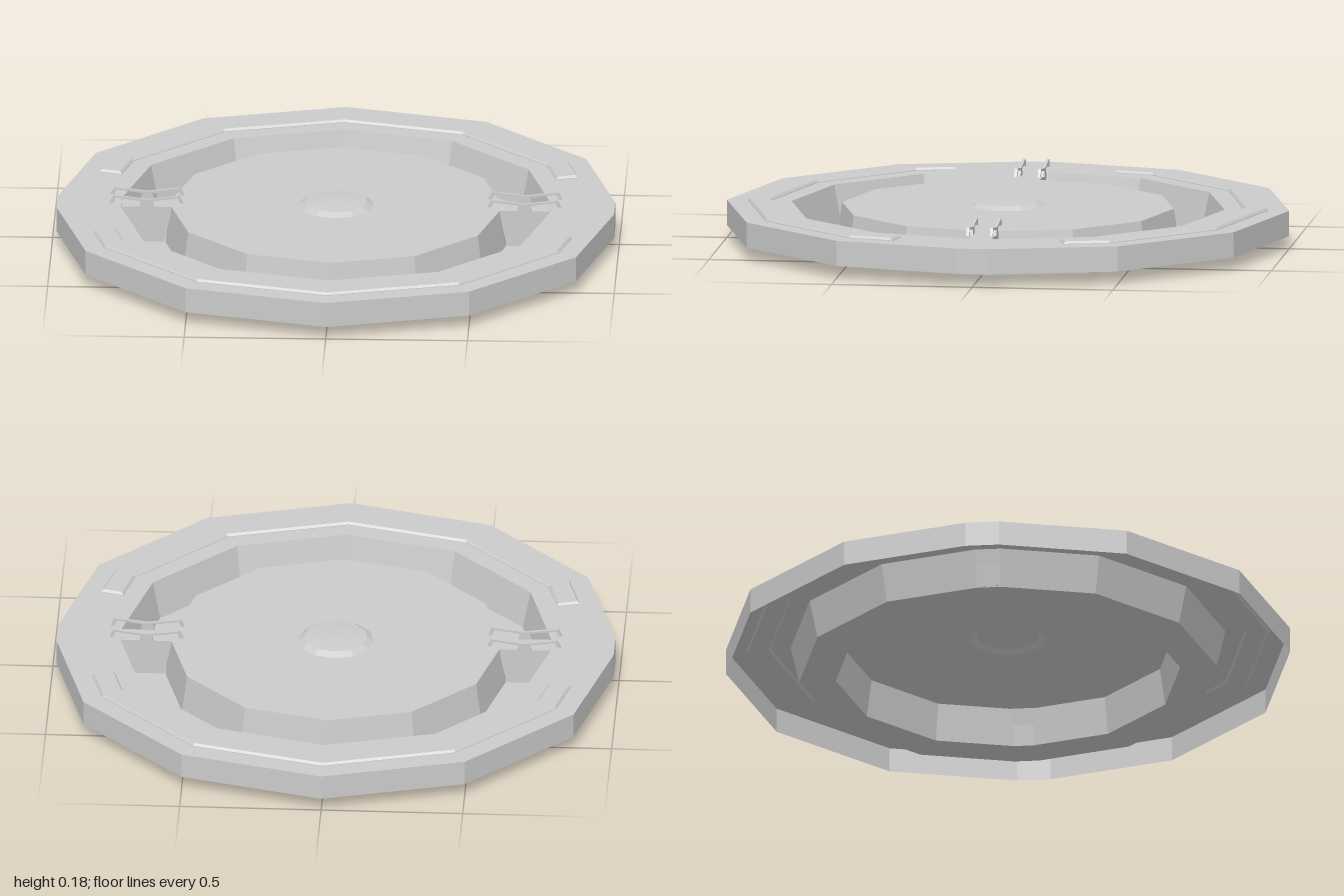
import * as THREE from 'three';

const TOP = 0.135; // height of the lid's upper face
const material = new THREE.MeshStandardMaterial({ color: 0xcccccc, flatShading: true, side: THREE.DoubleSide });

function addMesh(parent, name, geometry) {
  const mesh = new THREE.Mesh(geometry, material);
  mesh.name = name;
  parent.add(mesh);
  return mesh;
}

// Twelve-sided ring with a point at each z end and a small flat at each x end
function ring(r) {
  const c = 0.06 * r;
  const quarter = [[0, r], [r * 0.5, r * 0.866], [r * 0.866, r * 0.5], [r - c * 0.268, c]];
  const half = [...quarter, ...quarter.slice(1).reverse().map(([x, z]) => [x, -z])];
  return [...half, ...half.map(([x, z]) => [-x, -z])];
}

// Skin between successive [radius, height] rings
function loftRings(profile) {
  const positions = [], index = [];
  profile.forEach(([r, y]) => ring(r).forEach(([x, z]) => positions.push(x, y, z)));
  const n = ring(1).length;
  for (let i = 0; i < profile.length - 1; i++) {
    for (let j = 0; j < n; j++) {
      const a = i * n + j, b = i * n + (j + 1) % n;
      if (profile[i + 1][0] > 0) index.push(a, b, b + n, a, b + n, a + n);
      else index.push(a, b, a + n);
    }
  }
  const geometry = new THREE.BufferGeometry();
  geometry.setAttribute('position', new THREE.Float32BufferAttribute(positions, 3));
  geometry.setIndex(index);
  const flat = geometry.toNonIndexed();
  flat.computeVertexNormals();
  return flat;
}

const shapeOf = (points) => new THREE.Shape(points.map(([x, y]) => new THREE.Vector2(x, y)));

// Right half of a line mirrored into a full line, from -x to +x
const mirrored = (half) => [...half.slice(1).reverse().map(([x, y]) => [-x, y]), ...half];

export function createModel() {
  const model = new THREE.Group();
  model.name = 'lid';

  // Thin shell: skirt, rim, pressed groove, centre disc and low dome
  addMesh(model, 'lidShell', loftRings([
    [1, 0.045], [1, TOP], [0.77, TOP], [0.74, 0], [0.61, 0], [0.59, TOP],
    [0.135, TOP], [0.112, 0.149], [0.06, 0.154], [0, 0.157],
  ]));

  // Raised band on the front and back of the rim
  const outer = [[0, 0.925], [0.463, 0.803], [0.803, 0.463], [0.845, 0.305]];
  const inner = [[0, 0.84], [0.42, 0.73], [0.73, 0.42], [0.767, 0.283]];
  const band = new THREE.ExtrudeGeometry(shapeOf([...mirrored(outer), ...mirrored(inner).reverse()]), {
    depth: 0.002, bevelEnabled: true, bevelThickness: 0.008, bevelSize: 0.007, bevelOffset: -0.007, bevelSegments: 1,
  });
  band.rotateX(-Math.PI / 2);
  for (const [name, turn] of [['backBand', 0], ['frontBand', Math.PI]]) {
    const mesh = addMesh(model, name, band);
    mesh.position.y = TOP;
    mesh.rotation.y = turn;
  }

  // Bow-shaped clip with a centre foot and turned-down ends
  const clipTop = [[0, 0.163], [0.115, 0.178], [0.13, 0.15]];
  const clipUnder = [[0.025, 0.135], [0.018, 0.157], [0.108, 0.17], [0.117, 0.15]];
  const clip = new THREE.ExtrudeGeometry(shapeOf([
    ...mirrored(clipTop),
    ...clipUnder.slice().reverse(),
    ...clipUnder.map(([x, y]) => [-x, y]),
  ]), { depth: 0.01, bevelEnabled: false });
  clip.translate(0, 0, -0.005);

  // Bridge across the groove on each side, carrying a pair of clips
  for (const [side, sign] of [['left', 1], ['right', -1]]) {
    const group = new THREE.Group();
    group.name = side + 'Bridge';
    group.position.x = sign * 0.667;
    model.add(group);
    const block = addMesh(group, 'bridgeBlock', new THREE.BoxGeometry(0.18, TOP - 0.004, 0.08));
    block.position.y = TOP / 2 + 0.002;
    // Taper the block's outer foot to follow the groove wall
    const p = block.geometry.attributes.position;
    for (let i = 0; i < p.count; i++) {
      if (p.getY(i) < 0) p.setX(i, p.getX(i) * 0.7);
    }
    block.geometry.computeVertexNormals();
    for (const z of [-0.042, 0.042]) addMesh(group, 'clip', clip).position.z = z;
  }
  return model;
}
